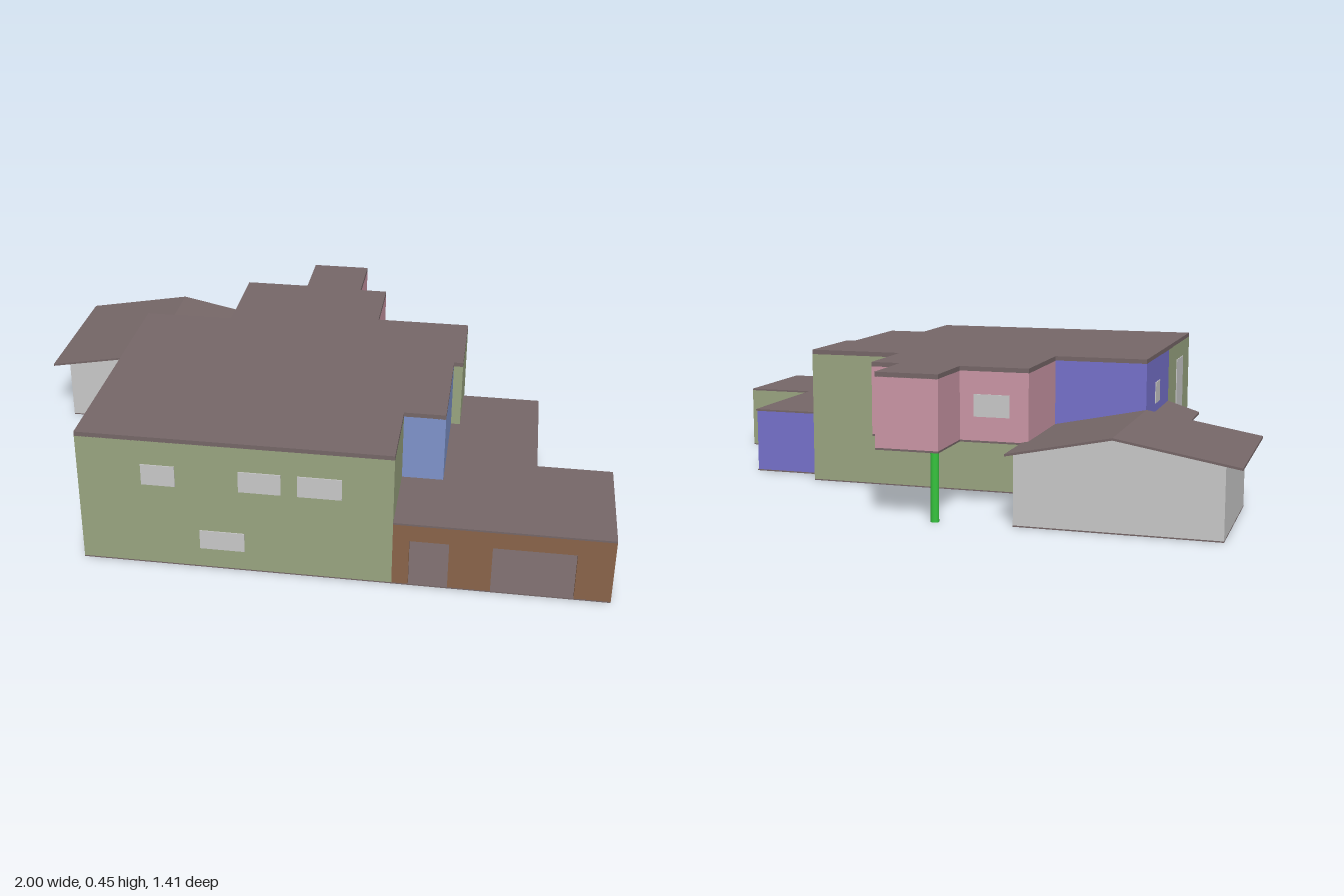
import * as THREE from 'three';

const mat = (name, color) => Object.assign(new THREE.MeshStandardMaterial({ color }), { name });
const M = {
  green: mat('sage wall', 0x9aa581),
  blue: mat('light blue wall', 0x7f94cb),
  violet: mat('violet wall', 0x7672cc),
  pink: mat('pink wall', 0xcc97a6),
  grey: mat('pale grey', 0xc9c9c9),
  tan: mat('tan wall', 0xcfae86),
  brown: mat('brown wall', 0x8a644a),
  roof: mat('roof brown', 0x766768),
  post: mat('bright green post', 0x36c43e),
};

export function createModel() {
  const house = new THREE.Group();
  house.name = 'house';

  const add = (name, geo, material) => {
    const mesh = new THREE.Mesh(geo, material);
    mesh.name = name;
    house.add(mesh);
    return mesh;
  };
  const box = (name, m, x0, x1, y0, y1, z0, z1) =>
    add(name, new THREE.BoxGeometry(x1 - x0, y1 - y0, z1 - z0), m)
      .position.set((x0 + x1) / 2, (y0 + y1) / 2, (z0 + z1) / 2);
  const shapeOf = (pts) => new THREE.Shape(pts.map(([x, y]) => new THREE.Vector2(x, y)));

  // Horizontal slab from a plan outline of [x, z] points
  const slab = (name, m, plan, y0, y1) => {
    const geo = new THREE.ExtrudeGeometry(shapeOf(plan.map(([x, z]) => [x, -z])),
      { depth: y1 - y0, bevelEnabled: false });
    add(name, geo.rotateX(-Math.PI / 2).translate(0, y0, 0), m);
  };
  // Solid from an [x, y] section, running along z
  const prism = (name, m, section, z0, z1) => {
    const geo = new THREE.ExtrudeGeometry(shapeOf(section), { depth: z1 - z0, bevelEnabled: false });
    add(name, geo.translate(0, 0, z0), m);
  };
  // Upright wall between two plan points, facing outward
  const wall = (name, m, [ax, az], [bx, bz], y0, y1) => {
    const dx = bx - ax, dz = bz - az;
    const mesh = add(name, new THREE.PlaneGeometry(Math.hypot(dx, dz), y1 - y0), m);
    mesh.position.set((ax + bx) / 2, (y0 + y1) / 2, (az + bz) / 2);
    mesh.rotation.y = Math.atan2(-dz, dx);
  };

  // Upper floor: outline and the colour of the wall after each corner
  const upper = [
    [-0.63, 0.7, 'green'], [0.34, 0.7, 'green'], [0.34, 0.43, 'blue'], [0.47, 0.43, 'blue'],
    [0.47, 0.06, 'green'], [0.5, 0.06, 'green'], [0.5, -0.24, 'green'], [0.185, -0.24, 'pink'],
    [0.185, -0.49, 'pink'], [0.09, -0.49, 'pink'], [0.09, -0.705, 'pink'], [-0.11, -0.705, 'pink'],
    [-0.11, -0.5, 'pink'], [-0.33, -0.5, 'pink'], [-0.33, -0.17, 'violet'], [-0.63, -0.17, 'violet'],
    [-0.63, 0.25, 'green'],
  ];
  upper.forEach((p, i) =>
    wall('upperWall', M[p[2]], p, upper[(i + 1) % upper.length], 0.22, 0.436));
  slab('mainRoof', M.roof, upper, 0.435, 0.45);
  slab('overhangFloor', M.roof, [[0.185, -0.235], ...upper.slice(8, 14), [-0.33, -0.235]], 0.214, 0.22);

  // Ground floor walls
  const ground = [[-0.63, -0.17], [-0.63, 0.7], [0.34, 0.7], [0.34, 0.3], [0.5, 0.3],
    [0.5, -0.24], [-0.33, -0.24]];
  for (let i = 0; i < ground.length - 1; i++)
    wall('groundWall', M.green, ground[i], ground[i + 1], 0.004, 0.22);
  slab('groundFloor', M.roof, [[-0.63, 0.7], [1, 0.7], [1, 0.3], [0.76, 0.3], [0.76, -0.15],
    [0.5, -0.15], [0.5, -0.24], [-0.33, -0.24], [-0.33, -0.67], [-0.95, -0.67], [-0.95, -0.2],
    [-0.705, -0.2], [-0.705, 0.24], [-0.63, 0.24]], 0, 0.004);

  // Carport: brown front with two openings, green side and back
  const front = shapeOf([[0.34, 0.004], [0.39, 0.004], [0.39, 0.16], [0.51, 0.16], [0.51, 0.004],
    [0.64, 0.004], [0.64, 0.16], [0.89, 0.16], [0.89, 0.004], [1, 0.004], [1, 0.214], [0.34, 0.214]]);
  add('carportFront', new THREE.ExtrudeGeometry(front, { depth: 0.015, bevelEnabled: false })
    .translate(0, 0, 0.685), M.brown);
  box('carportPartition', M.brown, 0.54, 0.55, 0.004, 0.214, 0.31, 0.685);
  box('carportSide', M.green, 0.985, 1, 0.004, 0.214, 0.3, 0.685);
  box('carportBack', M.green, 0.34, 0.985, 0.004, 0.214, 0.3, 0.312);

  // Violet side room
  box('sideRoom', M.violet, 0.5, 0.758, 0.004, 0.214, -0.147, 0.3);
  slab('lowerRoof', M.roof, [[0.34, 0.7], [1, 0.7], [1, 0.3], [0.762, 0.3], [0.762, -0.15],
    [0.5, -0.15], [0.5, 0.06], [0.34, 0.06]], 0.214, 0.22);

  // Grey gabled annex
  prism('annexWalls', M.grey, [[-0.95, 0.004], [-0.33, 0.004], [-0.33, 0.218], [-0.63, 0.279],
    [-0.95, 0.222]], -0.67, -0.2);
  prism('annexRoof', M.roof, [[-1, 0.215], [-0.63, 0.28], [-0.31, 0.215], [-0.31, 0.222],
    [-0.63, 0.287], [-1, 0.222]], -0.695, -0.165);

  // Tan lean-to
  prism('leanToWalls', M.tan, [[-0.705, 0.004], [-0.63, 0.004], [-0.63, 0.247], [-0.705, 0.224]],
    -0.2, 0.24);
  prism('leanToRoof', M.roof, [[-0.74, 0.214], [-0.63, 0.249], [-0.63, 0.256], [-0.74, 0.221]],
    -0.17, 0.25);

  // Post under the overhang
  add('post', new THREE.CylinderGeometry(0.013, 0.013, 0.218, 16), M.post)
    .position.set(-0.09, 0.109, -0.68);

  // Windows
  for (const [x0, x1, y0, y1] of [[-0.43, -0.325, 0.285, 0.355], [-0.13, 0, 0.285, 0.355],
    [0.05, 0.185, 0.285, 0.355], [-0.255, -0.115, 0.07, 0.135]])
    box('frontWindow', M.grey, x0, x1, y0, y1, 0.698, 0.703);
  for (const z of [0.193, -0.022])
    box('sideRoomWindow', M.grey, 0.756, 0.761, 0.07, 0.135, z - 0.037, z + 0.037);
  box('stairWindow', M.grey, -0.633, -0.628, 0.16, 0.38, 0.415, 0.55);
  box('bedroomWindow', M.grey, -0.633, -0.628, 0.285, 0.355, -0.01, 0.065);
  box('backWindow', M.grey, -0.27, -0.155, 0.295, 0.365, -0.503, -0.498);

  return house;
}
